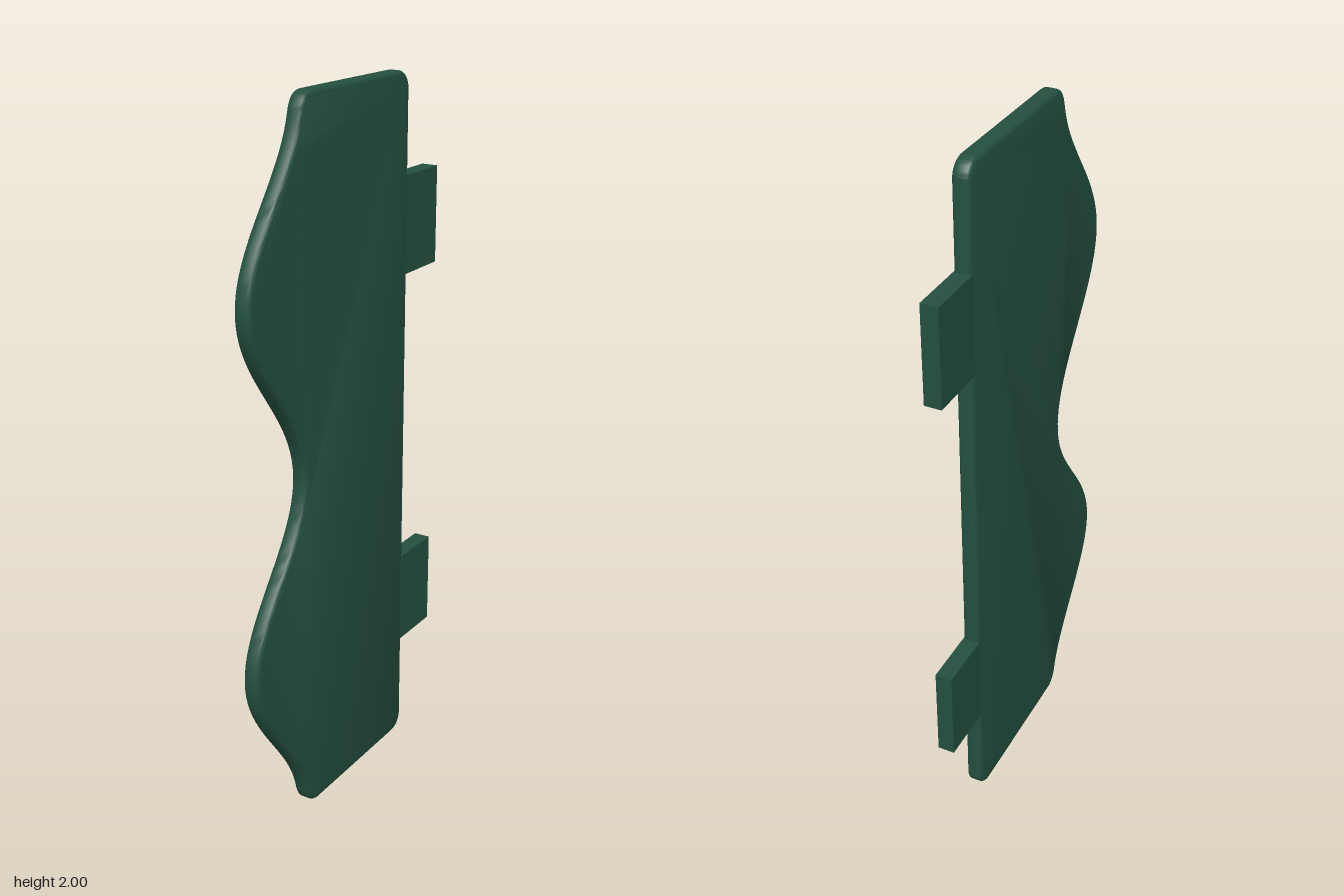
import * as THREE from 'three';
import { toCreasedNormals } from 'three/addons/utils/BufferGeometryUtils.js';

const THICK = 0.048, BEVEL = 0.012, BACK = -0.297, FRONT_CORNER = 0.17, R = 0.05;
const material = new THREE.MeshStandardMaterial({ color: 0x24503f });

// Depth of the wavy front edge at height y: two crests and a central dip
const wave = (y) => 0.34 - 0.12 * Math.cos(2 * Math.PI * y);

// Side outline, drawn with shape x = model z
function panelShape() {
  const s = new THREE.Shape();
  s.moveTo(BACK + R, 0);
  s.lineTo(FRONT_CORNER, 0);
  s.quadraticCurveTo(0.214, 0, wave(0.05), 0.05);
  const steps = 80;
  for (let i = 1; i <= steps; i++) {
    const y = 0.05 + (1.9 * i) / steps;
    s.lineTo(wave(y), y);
  }
  s.quadraticCurveTo(0.214, 2, FRONT_CORNER, 2);
  s.lineTo(BACK + R, 2);
  s.absarc(BACK + R, 2 - R, R, Math.PI / 2, Math.PI, false);
  s.lineTo(BACK, R);
  s.absarc(BACK + R, R, R, Math.PI, Math.PI * 1.5, false);
  return s;
}

export function createModel() {
  const group = new THREE.Group();
  group.name = 'wavyPanel';

  // Thin panel with softly rounded edges
  const extruded = new THREE.ExtrudeGeometry(panelShape(), {
    depth: THICK - 2 * BEVEL,
    bevelEnabled: true,
    bevelThickness: BEVEL,
    bevelSize: BEVEL,
    bevelOffset: -BEVEL,
    bevelSegments: 4,
    curveSegments: 10,
  });
  extruded.translate(0, 0, -(THICK / 2 - BEVEL));
  extruded.rotateY(-Math.PI / 2);
  const panel = new THREE.Mesh(toCreasedNormals(extruded, 0.6), material);
  panel.name = 'panel';
  group.add(panel);

  // Two square-edged mounting tabs on the back edge
  const zIn = BACK + BEVEL, zOut = -0.458;
  for (const [name, y] of [['lowerTab', 0.443], ['upperTab', 1.582]]) {
    const tab = new THREE.Mesh(new THREE.BoxGeometry(THICK, 0.275, zIn - zOut), material);
    tab.position.set(0, y, (zIn + zOut) / 2);
    tab.name = name;
    group.add(tab);
  }
  return group;
}
